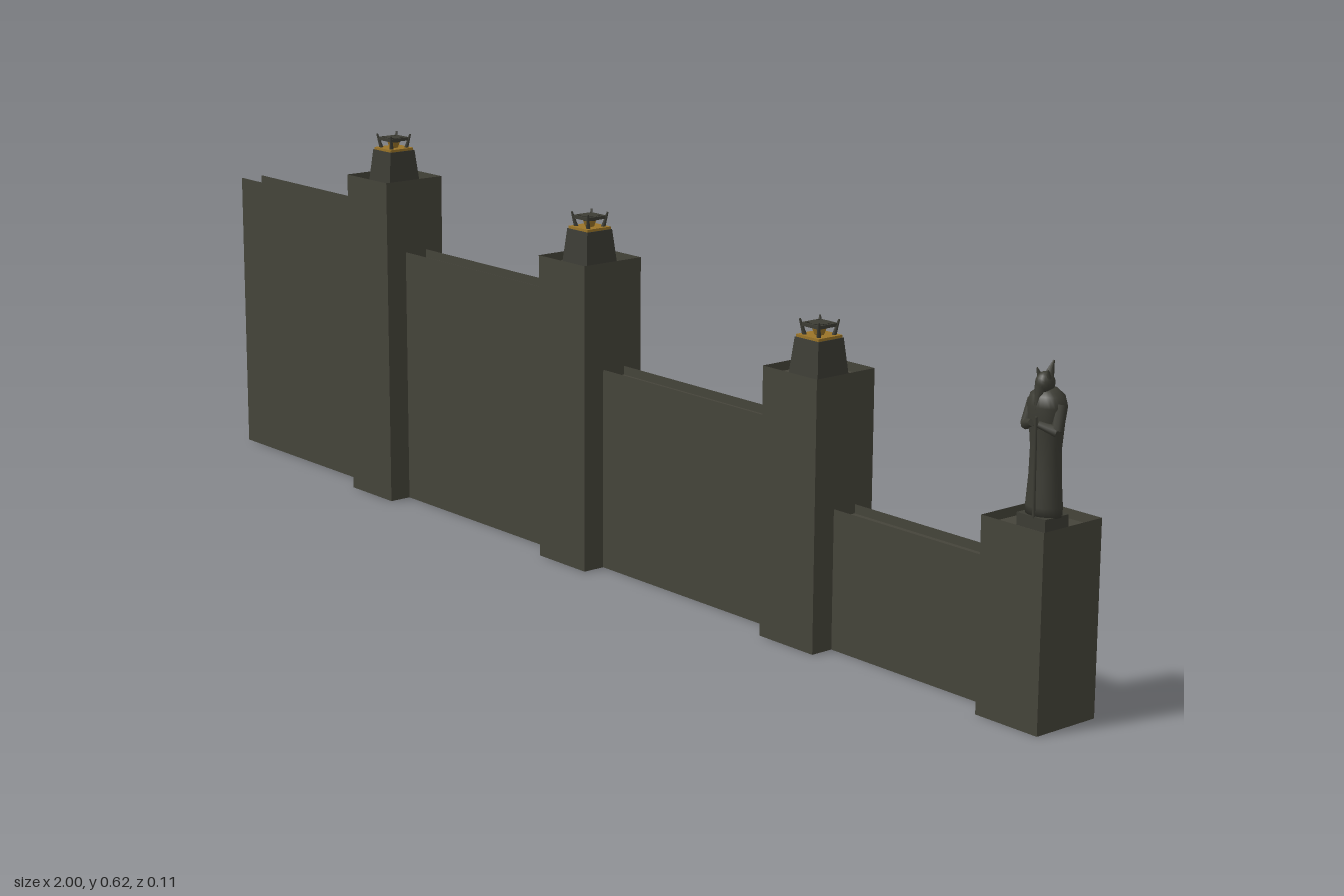
import * as THREE from 'three';

export function createModel() {
  const root = new THREE.Group();
  root.name = 'steppedWall';

  const stone = new THREE.MeshStandardMaterial({ color: 0x45443a, side: THREE.DoubleSide });
  stone.name = 'stone';
  const carved = new THREE.MeshStandardMaterial({ color: 0x3c3c34 });
  carved.name = 'carvedStone';
  const gold = new THREE.MeshStandardMaterial({ color: 0x9a7428 });
  gold.name = 'gold';

  const add = (parent, name, geo, mat, x = 0, y = 0, z = 0) => {
    const m = new THREE.Mesh(geo, mat);
    m.name = name;
    m.position.set(x, y, z);
    parent.add(m);
    return m;
  };

  // Tapered square block: four-sided cylinder turned flat to the axes
  const frustum = (top, bottom, h) => {
    const g = new THREE.CylinderGeometry(top * Math.SQRT2, bottom * Math.SQRT2, h, 4).toNonIndexed();
    g.rotateY(Math.PI / 4);
    g.computeVertexNormals();
    return g;
  };

  // Rod between two points
  const rod = (parent, name, a, b, r0, r1, mat) => {
    const p = new THREE.Vector3(...a), q = new THREE.Vector3(...b);
    const d = q.clone().sub(p);
    const m = add(parent, name, new THREE.CylinderGeometry(r1, r0, d.length(), 8), mat);
    m.position.copy(p).add(q).multiplyScalar(0.5);
    m.quaternion.setFromUnitVectors(new THREE.Vector3(0, 1, 0), d.normalize());
    return m;
  };

  const LIP = 0.014; // depth of the sunken top

  // Wall sections: two thin faces, sunken top, open ends and underside
  const walls = [
    [-1, -0.6, 0.49], [-0.5, -0.07, 0.43], [0.03, 0.45, 0.323], [0.555, 0.895, 0.213],
  ];
  for (const [x0, x1, h] of walls) {
    const g = new THREE.Group();
    g.name = 'wallSection';
    const w = x1 - x0, cx = (x0 + x1) / 2;
    add(g, 'wallFront', new THREE.PlaneGeometry(w, h), stone, cx, h / 2, 0.019);
    add(g, 'wallBack', new THREE.PlaneGeometry(w, h), stone, cx, h / 2, -0.023).rotation.y = Math.PI;
    add(g, 'wallTop', new THREE.PlaneGeometry(w, 0.042), stone, cx, h - LIP, -0.002).rotation.x = -Math.PI / 2;
    root.add(g);
  }

  // Pillars: four sides with a sunken top
  const W = 0.114;
  const pillars = [[-0.55, 0.552], [-0.023, 0.493], [0.503, 0.411], [0.943, 0.285]];
  for (const [x, h] of pillars) {
    const g = new THREE.Group();
    g.name = 'pillar';
    g.position.x = x;
    for (let i = 0; i < 4; i++) {
      const a = i * Math.PI / 2;
      add(g, 'pillarSide', new THREE.PlaneGeometry(W, h), stone,
        Math.sin(a) * W / 2, h / 2, Math.cos(a) * W / 2).rotation.y = a;
    }
    add(g, 'pillarTop', new THREE.PlaneGeometry(W, W), stone, 0, h - LIP, 0).rotation.x = -Math.PI / 2;
    root.add(g);
  }

  // Brazier on a tapered plinth
  function brazier() {
    const g = new THREE.Group();
    g.name = 'brazier';
    add(g, 'plinth', frustum(0.025, 0.031, 0.058), carved, 0, 0.015, 0);
    add(g, 'goldPlate', new THREE.BoxGeometry(0.047, 0.004, 0.047), gold, 0, 0.046, 0);
    add(g, 'goldBowl', new THREE.CylinderGeometry(0.011, 0.007, 0.011, 12), gold, 0, 0.053, 0);
    add(g, 'coals', new THREE.CylinderGeometry(0.016, 0.012, 0.008, 8), carved, 0, 0.062, 0);
    for (const sx of [-1, 1]) for (const sz of [-1, 1]) {
      rod(g, 'prong', [sx * 0.015, 0.047, sz * 0.015], [sx * 0.02, 0.071, sz * 0.02], 0.0035, 0.0015, carved);
    }
    for (let i = 0; i < 4; i++) {
      const a = i * Math.PI / 2;
      const rail = add(g, 'rail', new THREE.BoxGeometry(0.034, 0.005, 0.004), carved,
        Math.sin(a) * 0.017, 0.063, Math.cos(a) * 0.017);
      rail.rotation.y = a;
    }
    return g;
  }
  for (const [x, h] of pillars.slice(0, 3)) {
    const b = brazier();
    b.position.set(x, h, 0);
    root.add(b);
  }

  // Robed statue leaning on a staff
  const statue = new THREE.Group();
  statue.name = 'statue';
  statue.position.set(0.943, 0.271, -0.002);
  root.add(statue);
  add(statue, 'statueBase', new THREE.BoxGeometry(0.052, 0.018, 0.046), carved, 0, 0.009, 0);
  const profile = [
    [0, 0.016], [0.026, 0.016], [0.026, 0.03], [0.023, 0.07], [0.022, 0.11], [0.025, 0.145],
    [0.028, 0.168], [0.024, 0.183], [0.013, 0.192], [0, 0.194],
  ].map(p => new THREE.Vector2(...p));
  const robe = new THREE.LatheGeometry(profile, 24);
  robe.scale(1.05, 1, 0.88);
  add(statue, 'robe', robe, carved, 0, 0, -0.002);
  add(statue, 'head', new THREE.SphereGeometry(0.014, 16, 12), carved, 0, 0.199, 0.004).scale.set(0.9, 1.15, 1.05);
  rod(statue, 'beard', [0, 0.196, 0.013], [0, 0.165, 0.021], 0.008, 0.002, carved);
  rod(statue, 'hoodPeak', [0, 0.208, -0.003], [0, 0.228, -0.012], 0.007, 0.001, carved);
  for (const s of [-1, 1]) {
    rod(statue, 'horn', [s * 0.008, 0.207, 0.006], [s * 0.01, 0.219, 0.01], 0.004, 0.001, carved);
    rod(statue, 'upperArm', [s * 0.024, 0.172, -0.002], [s * 0.028, 0.138, 0.008], 0.009, 0.008, carved);
    rod(statue, 'forearm', [s * 0.028, 0.138, 0.008], [s * 0.006, 0.146, 0.021], 0.008, 0.005, carved);
  }
  rod(statue, 'staff', [0.004, 0.016, 0.022], [0.004, 0.156, 0.024], 0.002, 0.002, carved);

  return root;
}
